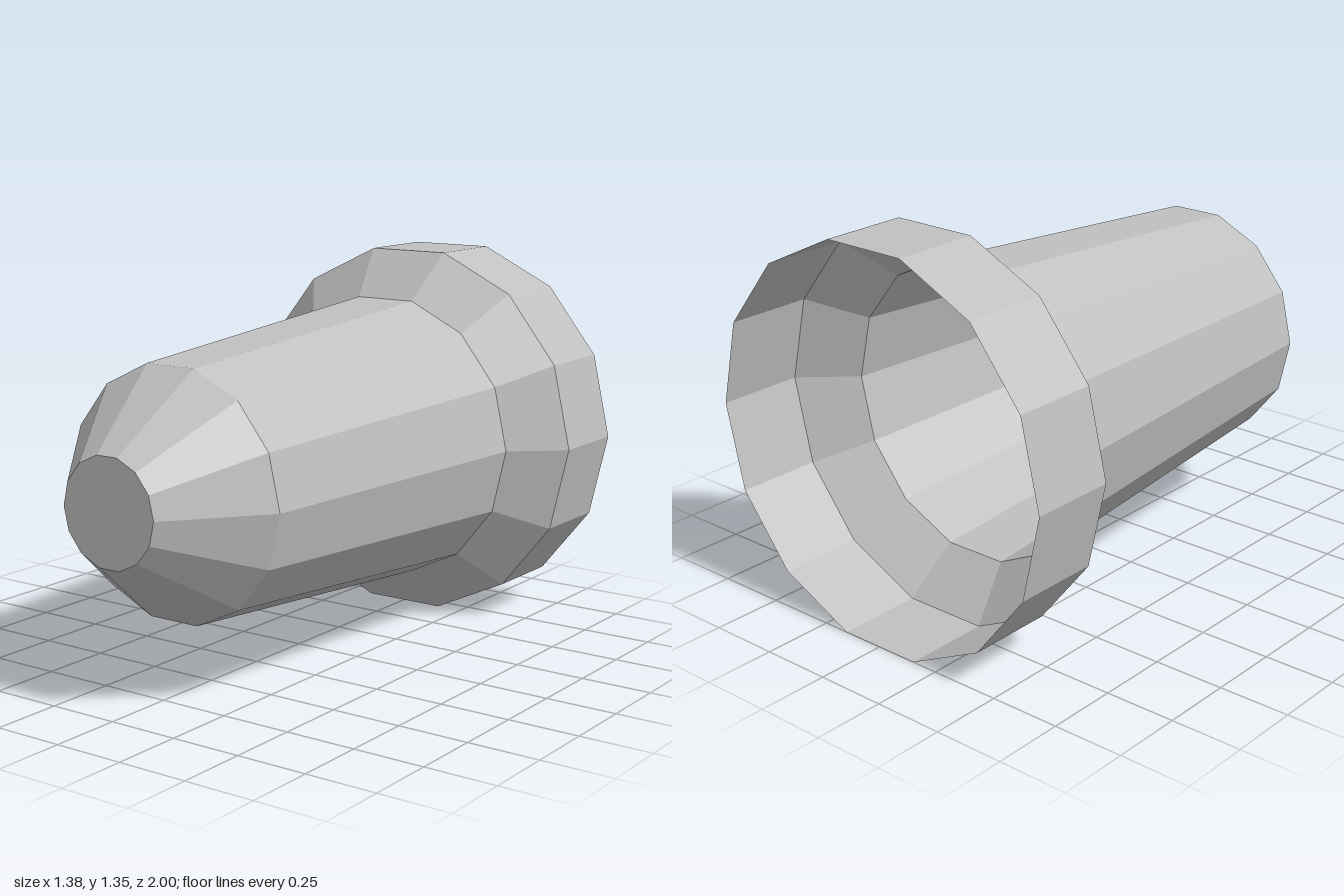
import * as THREE from 'three';

const SIDES = 14;

export function createModel() {
  const model = new THREE.Group();
  model.name = 'nozzle';

  const metal = new THREE.MeshStandardMaterial({ color: 0xc0c0c0, flatShading: true, side: THREE.DoubleSide });
  metal.name = 'light grey';

  // Axis height: the flat bottom of the rim rests on the ground
  const rimRadius = 0.692;
  const axisY = rimRadius * Math.cos(Math.PI / SIDES);

  const add = (name, geometry, z = 0) => {
    const mesh = new THREE.Mesh(geometry, metal);
    mesh.name = name;
    mesh.position.set(0, axisY, z);
    model.add(mesh);
  };

  // Open faceted band between two rings [radius, z], axis along z
  const band = (name, back, front) => {
    const points = [back, front].map(([r, z]) => new THREE.Vector2(r, z));
    const geometry = new THREE.LatheGeometry(points, SIDES, Math.PI / 2);
    geometry.rotateX(Math.PI / 2);
    add(name, geometry);
  };

  // Rings from the open back to the closed tip
  const rings = [[rimRadius, -1], [rimRadius, -0.692], [0.522, -0.538], [0.431, 0.692], [0.184, 1]];
  ['rim', 'flare', 'body', 'nose'].forEach((name, i) => band(name, rings[i], rings[i + 1]));

  // Flat end of the nose
  add('tipCap', new THREE.CircleGeometry(0.184, SIDES), 1);

  return model;
}
